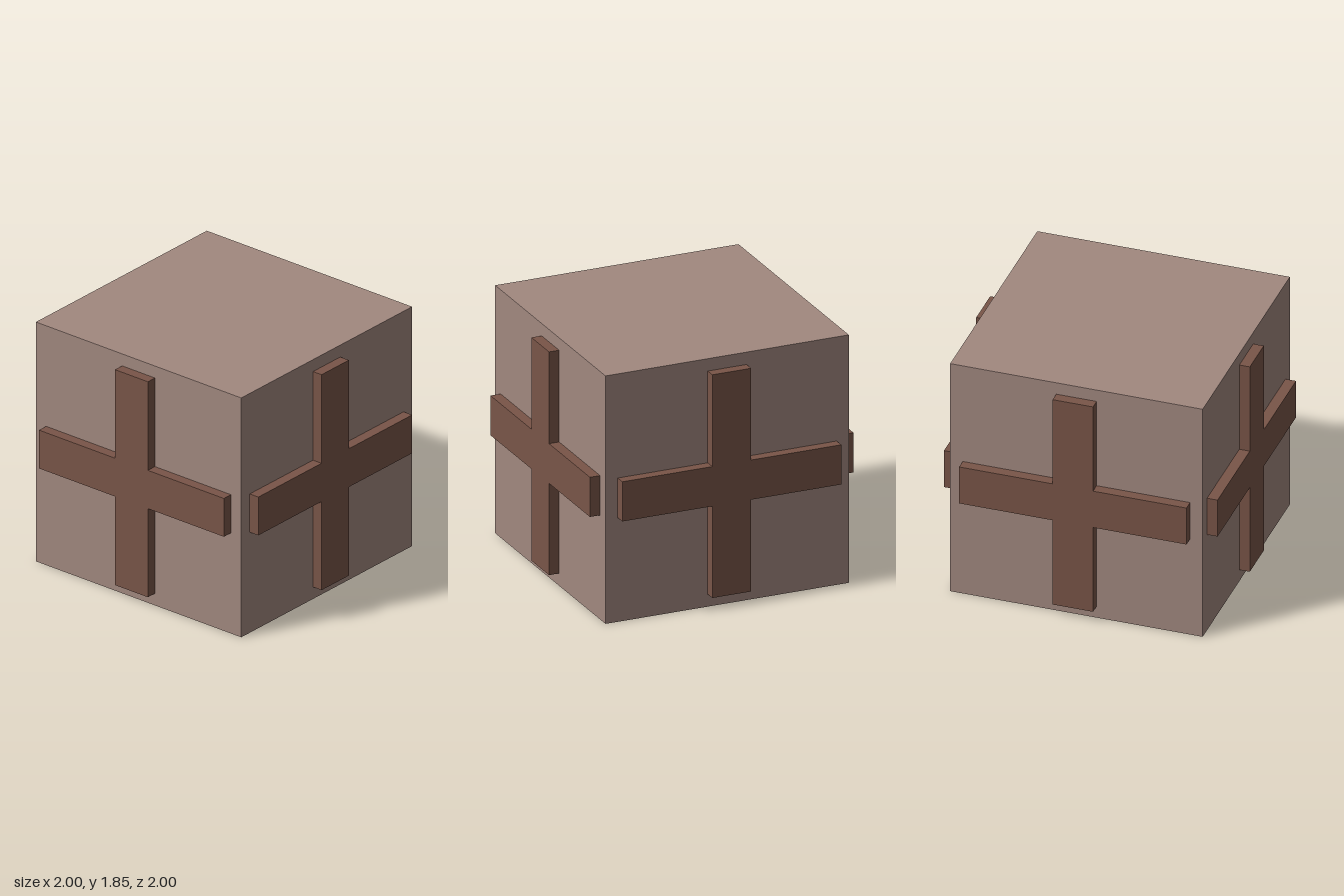
import * as THREE from 'three';

const HALF = 12 / 13;         // half the cube's edge
const RAISE = 1 - HALF;       // how far the crosses stand out
const ARM = 0.831;            // half length of a cross arm
const WIDTH = 0.1477;         // half width of a cross arm

export function createModel() {
  const model = new THREE.Group();
  model.name = 'crateWithCrosses';

  const lightBrown = new THREE.MeshStandardMaterial({ color: 0xa1887f });
  lightBrown.name = 'light brown';
  const darkBrown = new THREE.MeshStandardMaterial({ color: 0x795548 });
  darkBrown.name = 'dark brown';

  // Solid cube body
  const body = new THREE.Mesh(new THREE.BoxGeometry(2 * HALF, 2 * HALF, 2 * HALF), lightBrown);
  body.name = 'body';
  body.position.y = HALF;
  model.add(body);

  // Plus-shaped outline, extruded outward from the face
  const a = ARM, w = WIDTH;
  const outline = [
    [w, -a], [w, -w], [a, -w], [a, w], [w, w], [w, a],
    [-w, a], [-w, w], [-a, w], [-a, -w], [-w, -w], [-w, -a],
  ].map(([x, y]) => new THREE.Vector2(x, y));
  const crossGeometry = new THREE.ExtrudeGeometry(new THREE.Shape(outline), {
    depth: RAISE, bevelEnabled: false,
  });
  crossGeometry.translate(0, 0, HALF);

  // One raised cross on each of the four sides
  ['front', 'left', 'back', 'right'].forEach((side, i) => {
    const cross = new THREE.Mesh(crossGeometry, darkBrown);
    cross.name = side + 'Cross';
    cross.position.y = HALF;
    cross.rotation.y = i * Math.PI / 2;
    model.add(cross);
  });

  return model;
}
